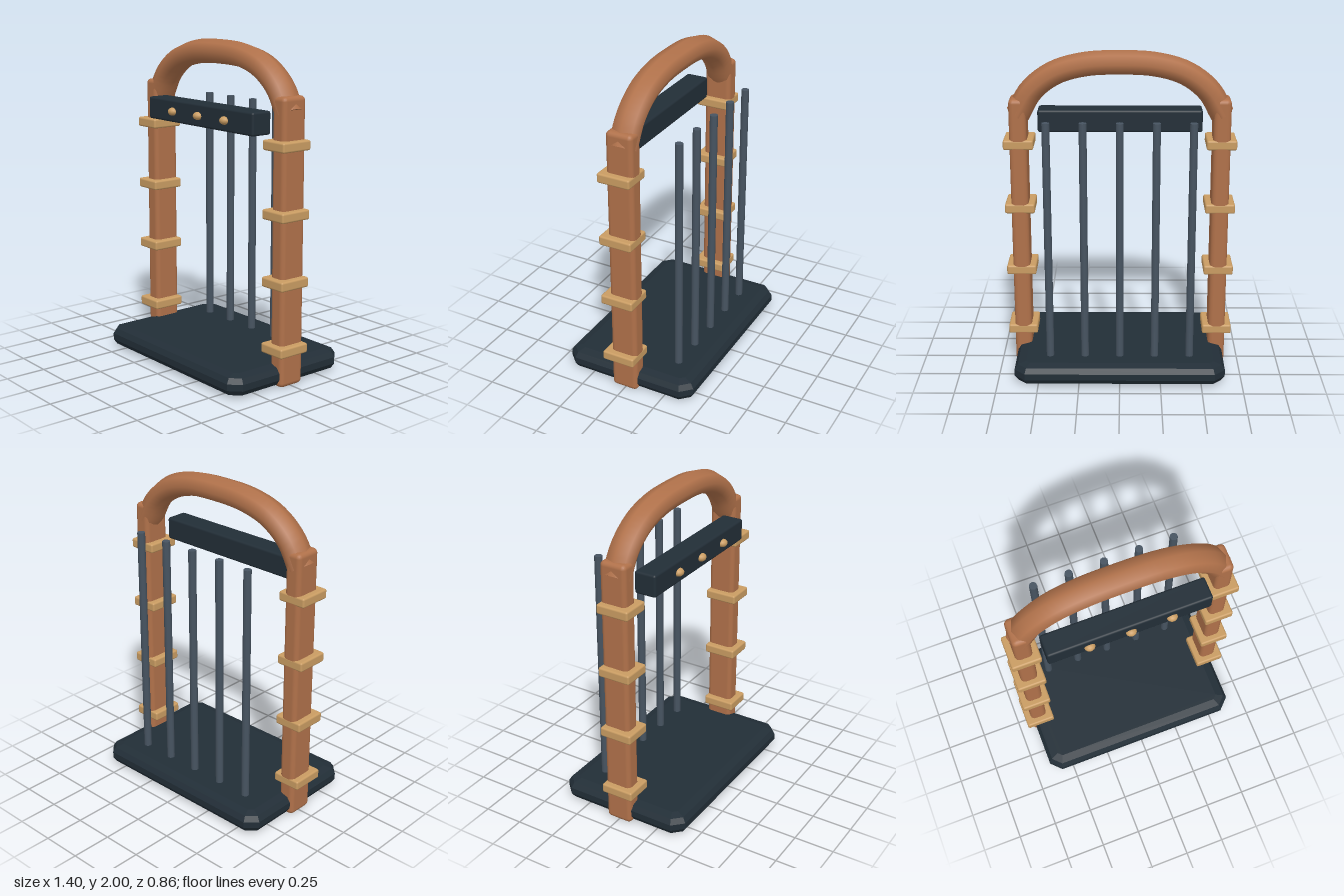
import * as THREE from 'three';
import { RoundedBoxGeometry } from 'three/addons/geometries/RoundedBoxGeometry.js';

const material = (name, color) => {
  const m = new THREE.MeshStandardMaterial({ color });
  m.name = name;
  return m;
};

export function createModel() {
  const group = new THREE.Group();
  const wood = material('brown wood', 0xb0714a);
  const tan = material('tan binding', 0xc99c62);
  const dark = material('dark slate', 0x222e37);
  const steel = material('blue grey steel', 0x475461);

  const add = (name, geometry, mat, x = 0, y = 0, z = 0) => {
    const mesh = new THREE.Mesh(geometry, mat);
    mesh.name = name;
    mesh.position.set(x, y, z);
    group.add(mesh);
    return mesh;
  };

  // Base slab: clipped-corner outline with a bevelled rim
  const bevel = 0.07, hx = 0.645 - bevel, hz = 0.43 - bevel, c = 0.025;
  const outline = new THREE.Shape([
    [-hx + c, -hz], [hx - c, -hz], [hx, -hz + c], [hx, hz - c],
    [hx - c, hz], [-hx + c, hz], [-hx, hz - c], [-hx, -hz + c],
  ].map(([x, y]) => new THREE.Vector2(x, y)));
  const slab = new THREE.ExtrudeGeometry(outline, {
    depth: 0.04, bevelThickness: 0.045, bevelSize: bevel, bevelSegments: 2,
  });
  slab.rotateX(-Math.PI / 2);
  add('base', slab, dark, 0, 0.055, 0);

  // Side posts with wrapped bands
  const postGeometry = new RoundedBoxGeometry(0.105, 1.715, 0.172, 2, 0.028);
  const bandGeometry = new RoundedBoxGeometry(0.182, 0.06, 0.21, 2, 0.012);
  for (const [side, s] of [['left', 1], ['right', -1]]) {
    add(side + 'Post', postGeometry, wood, s * 0.61, 0.8625, 0.002);
    for (let i = 0; i < 4; i++) {
      add(side + 'Band' + (i + 1), bandGeometry, tan, s * 0.61, 0.235 + i * 0.402, 0.02);
    }
  }

  // Arched top rail, deeper than it is thick
  const half = [[0.612, 1.615], [0.53, 1.757], [0.395, 1.862], [0.22, 1.915]];
  const points = [
    ...half.map(([x, y]) => new THREE.Vector3(-x, y, 0)),
    new THREE.Vector3(0, 1.928, 0),
    ...half.slice().reverse().map(([x, y]) => new THREE.Vector3(x, y, 0)),
  ];
  const path = new THREE.CatmullRomCurve3(points);
  const radius = 0.0735, stretch = 1.25;
  add('arch', new THREE.TubeGeometry(path, 40, radius, 8), wood).scale.z = stretch;

  // Caps closing the two ends of the arch
  for (const [name, t, s] of [['archRightEnd', 0, -1], ['archLeftEnd', 1, 1]]) {
    const p = path.getPointAt(t);
    const direction = path.getTangentAt(t).multiplyScalar(s);
    const cap = new THREE.CircleGeometry(radius, 8);
    cap.applyQuaternion(new THREE.Quaternion().setFromUnitVectors(new THREE.Vector3(0, 0, 1), direction));
    add(name, cap, wood, p.x, p.y, p.z).scale.z = stretch;
  }

  // Crossbar with three studs
  add('crossbar', new RoundedBoxGeometry(1, 0.138, 0.14, 2, 0.014), dark, 0, 1.557, 0.11);
  const studGeometry = new THREE.SphereGeometry(1, 14, 10);
  studGeometry.scale(0.033, 0.025, 0.03);
  for (const x of [-0.25, 0, 0.25]) add('stud', studGeometry, tan, x, 1.555, 0.18);

  // Row of upright rods at the back
  const rodGeometry = new THREE.CylinderGeometry(0.024, 0.024, 1.525, 10);
  for (let i = -2; i <= 2; i++) add('rod', rodGeometry, steel, i * 0.215, 0.8625, -0.252);

  return group;
}
